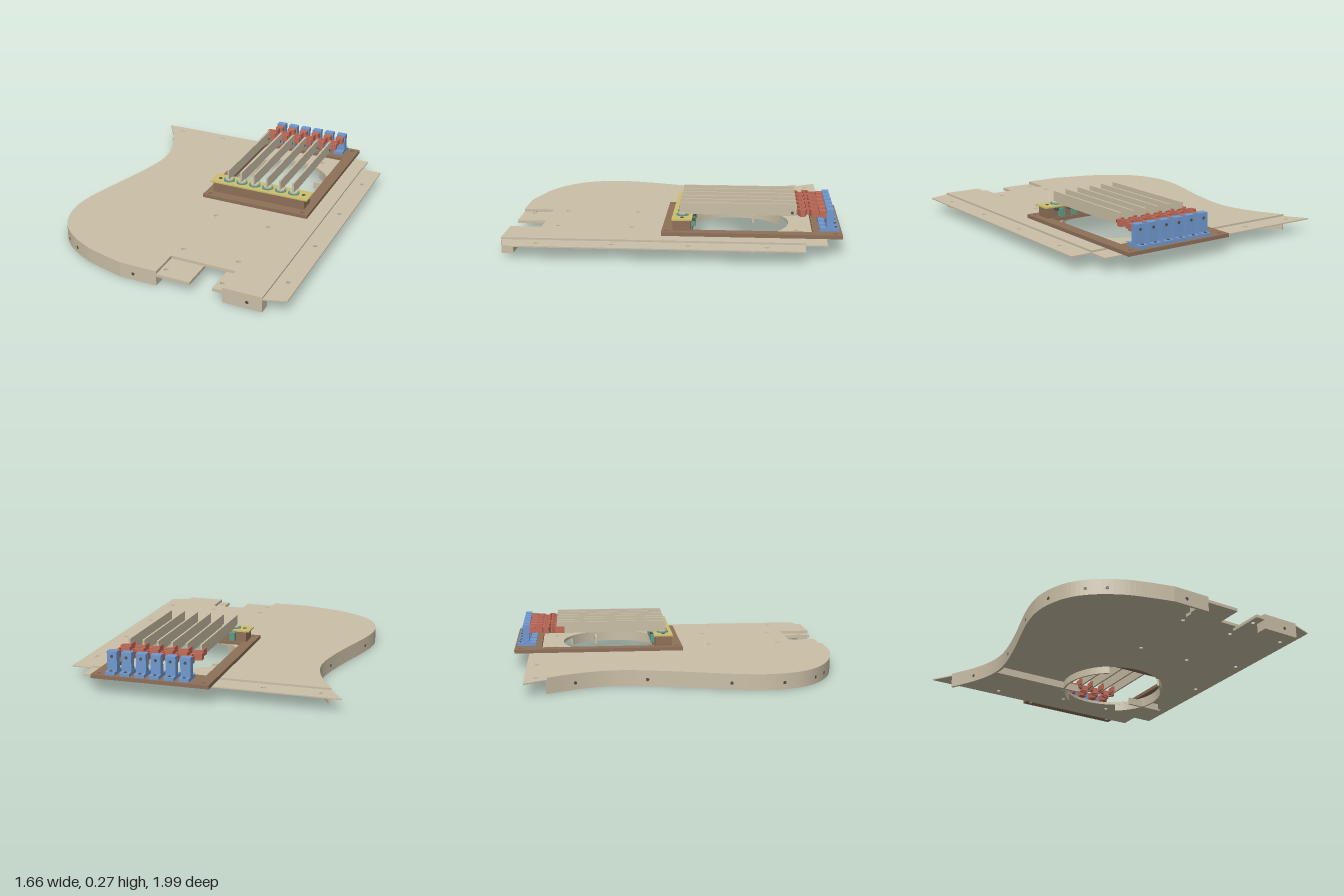
import * as THREE from 'three';

const mat = (name, color, side = THREE.FrontSide) => {
  const m = new THREE.MeshStandardMaterial({ color, side });
  m.name = name;
  return m;
};
const V = (x, z) => new THREE.Vector2(x, -z);

export function createModel() {
  const model = new THREE.Group();
  model.name = 'instrumentBody';
  const cream = mat('creamWood', 0xcabfa6);
  const brown = mat('brownWood', 0x8d7058);
  const yellow = mat('yellowPlate', 0xcbbf70);
  const teal = mat('tealRing', 0x5f9c86);
  const red = mat('redFlexure', 0xc06a58);
  const blue = mat('blueBracket', 0x7099d0);
  const dark = mat('darkHole', 0x57524a);

  const add = (name, geo, material, parent = model) => {
    const m = new THREE.Mesh(geo, material);
    m.name = name;
    parent.add(m);
    return m;
  };
  // box given by its minimum and maximum on each axis
  const box = (name, material, x0, x1, y0, y1, z0, z1, parent) => {
    const g = new THREE.BoxGeometry(x1 - x0, y1 - y0, z1 - z0);
    g.translate((x0 + x1) / 2, (y0 + y1) / 2, (z0 + z1) / 2);
    return add(name, g, material, parent);
  };
  // plan outline (x, z) with round holes [x, z, r], raised from y0 to y1
  const slab = (name, material, pts, y0, y1, holes = [], cut = null) => {
    const s = new THREE.Shape(pts);
    for (const [x, z, r] of holes) {
      const h = new THREE.Path();
      h.absarc(x, -z, r, 0, Math.PI * 2, true);
      s.holes.push(h);
    }
    if (cut) s.holes.push(new THREE.Path(cut));
    const g = new THREE.ExtrudeGeometry(s, { depth: y1 - y0, bevelEnabled: false, curveSegments: 24 });
    g.rotateX(-Math.PI / 2).translate(0, y0, 0);
    return add(name, g, material);
  };
  const rect = (x0, x1, z0, z1) => [V(x0, z1), V(x1, z1), V(x1, z0), V(x0, z0)];

  // waisted side curve, running from back to front
  const side = new THREE.SplineCurve([
    [-0.83, -0.91], [-0.745, -0.78], [-0.66, -0.62], [-0.613, -0.48], [-0.6, -0.35], [-0.62, -0.2],
    [-0.668, 0], [-0.72, 0.18], [-0.76, 0.34], [-0.775, 0.48], [-0.755, 0.61], [-0.7, 0.73],
    [-0.6, 0.83], [-0.46, 0.91], [-0.32, 0.955], [-0.18, 0.99],
  ].map(([x, z]) => V(x, z))).getPoints(75);
  const bodySide = side.filter((p) => -p.y >= -0.781);
  const backSide = side.filter((p) => -p.y <= -0.779);

  // soundboard with sound hole and front notch
  const R = 0.013;
  const hx = 0.255, hz = -0.37, hr = 0.325;
  slab('soundboard', cream, [
    ...bodySide, V(0.05, 0.99), V(0.05, 0.8), V(0.46, 0.8), V(0.46, 0.99), V(0.7, 0.99), V(0.7, -0.78),
  ], 0.077, 0.095, [
    [hx, hz, hr], [0.08, -0.74, R], [0.43, -0.74, R],
    [0.08, 0.25, R], [0.43, 0.25, R], [0.08, 0.7, R], [0.43, 0.7, R],
  ]);
  // thin flanges along the back and the straight side
  slab('backFlange', cream, [...backSide, V(0.7, -0.78), V(0.7, -0.91)], 0.077, 0.084,
    [[-0.7, -0.845, R], [-0.37, -0.845, R]]);
  slab('sideFlange', cream, [V(0.7, 0.99), V(0.83, 0.95), V(0.83, -0.78), V(0.7, -0.78)], 0.077, 0.084,
    [-0.56, -0.11, 0.33, 0.77].map((z) => [0.765, z, R]));
  // ledges inside the front notch
  slab('notchLedge', cream, rect(0.05, 0.26, 0.77, 0.99), 0.058, 0.0765, [[0.08, 0.92, R]]);
  slab('notchLedge', cream, rect(0.4, 0.46, 0.77, 0.99), 0.058, 0.0765, [[0.43, 0.92, R]]);

  // curved rim wall, thickened inward
  const inner = bodySide.map((p, i) => {
    const a = bodySide[Math.max(i - 1, 0)], b = bodySide[Math.min(i + 1, bodySide.length - 1)];
    const t = b.clone().sub(a).normalize();
    return new THREE.Vector2(p.x - t.y * 0.015, p.y + t.x * 0.015);
  });
  slab('rimWall', cream, [...bodySide, ...inner.reverse()], 0, 0.077);
  box('frontWall', cream, -0.185, 0, 0, 0.077, 0.975, 0.99);
  box('frontBlock', cream, -0.03, 0.05, 0, 0.077, 0.92, 0.99);
  box('frontBlock', cream, 0.46, 0.7, 0, 0.077, 0.92, 0.99);

  // screw holes in the rim
  const hole = (x, z, dx, dz, len) => {
    const g = new THREE.CylinderGeometry(0.01, 0.01, len, 16).rotateX(Math.PI / 2);
    const m = add('rimHole', g, dark);
    m.position.set(x, 0.04, z);
    m.rotation.y = Math.atan2(dx, dz);
  };
  for (const z of [-0.65, -0.2, 0.27, 0.57, 0.785, 0.86]) {
    const i = bodySide.findIndex((p) => -p.y >= z);
    const p = bodySide[i], t = bodySide[i + 1].clone().sub(bodySide[i - 1]).normalize();
    hole(p.x - t.y * 0.0075, -p.y - t.x * 0.0075, -t.y, -t.x, 0.018);
  }
  hole(-0.1, 0.9825, 0, 1, 0.018);
  hole(0.61, 0.955, 0, 1, 0.073);

  // curved ribs and straight braces beside the sound hole
  for (const mid of [0, Math.PI]) {
    const s = new THREE.Shape();
    s.absarc(hx, -hz, hr + 0.012, mid - 0.96, mid + 0.96, false);
    s.absarc(hx, -hz, hr, mid + 0.96, mid - 0.96, true);
    slab('soundHoleRib', cream, s.getPoints(24), 0.03, 0.077);
  }
  box('brace', cream, -0.6, 0.05, 0.03, 0.077, -0.487, -0.473);
  box('brace', cream, 0.46, 0.7, 0.03, 0.077, -0.487, -0.473);

  // brown frame
  slab('frame', brown, rect(-0.1, 0.61, -1, 0.06), 0.096, 0.118,
    [[-0.06, -0.96, R], [0.57, -0.96, R], [-0.06, 0.03, R], [0.57, 0.03, R]],
    rect(-0.03, 0.54, -0.83, -0.12));
  // bridge with its top plate
  box('bridge', brown, -0.055, 0.565, 0.118, 0.182, -0.112, -0.005);
  box('bridgePlate', yellow, -0.075, 0.585, 0.182, 0.191, -0.12, 0);
  for (const x of [-0.03, 0.54]) {
    const screw = add('plateScrew', new THREE.CylinderGeometry(0.011, 0.011, 0.004, 16), dark);
    screw.position.set(x, 0.1915, -0.06);
  }

  // six identical tines, each with its seat, flexure and bracket
  for (let i = 0; i < 6; i++) {
    const unit = new THREE.Group();
    unit.name = 'tineUnit';
    unit.position.x = 0.032 + i * 0.0887;
    model.add(unit);

    const ring = add('seatRing', new THREE.CylinderGeometry(0.036, 0.036, 0.008, 28), teal, unit);
    ring.position.set(0, 0.194, -0.06);
    const seat = add('seat', new THREE.CylinderGeometry(0.026, 0.026, 0.014, 24), cream, unit);
    seat.position.set(0, 0.198, -0.06);
    box('pickup', teal, -0.018, 0.018, 0.125, 0.175, -0.135, -0.112, unit);
    box('pickupTab', dark, 0.026, 0.046, 0.165, 0.181, -0.135, -0.112, unit);

    box('tine', cream, -0.006, 0.006, 0.197, 0.268, -0.735, -0.04, unit);
    const pin = add('tinePin', new THREE.CylinderGeometry(0.009, 0.009, 0.014, 16).rotateZ(Math.PI / 2), dark, unit);
    pin.position.set(0, 0.215, -0.71);

    // folded flexure strip
    const path = [[0.02, -0.87], [0.02, -0.825], [-0.028, -0.815], [-0.028, -0.79], [0.03, -0.78],
      [0.03, -0.76], [-0.012, -0.745], [-0.012, -0.69]];
    for (let k = 0; k + 1 < path.length; k++) {
      const [x0, z0] = path[k], [x1, z1] = path[k + 1];
      const g = new THREE.BoxGeometry(0.011, 0.04, Math.hypot(x1 - x0, z1 - z0) + 0.009);
      const m = add('flexure', g, red, unit);
      m.position.set((x0 + x1) / 2, 0.22, (z0 + z1) / 2);
      m.rotation.y = Math.atan2(x1 - x0, z1 - z0);
    }
    box('flexureBlock', red, -0.005, 0.045, 0.2, 0.24, -0.91, -0.868, unit);

    // upright bracket
    box('bracketBase', blue, -0.01, 0.05, 0.118, 0.138, -0.985, -0.87, unit);
    box('bracketUpright', blue, -0.01, 0.05, 0.138, 0.25, -0.95, -0.908, unit);
    const bolt = add('bracketBolt', new THREE.CylinderGeometry(0.01, 0.01, 0.004, 16), dark, unit);
    bolt.position.set(0.02, 0.139, -0.968);
    const rear = add('bracketHole', new THREE.CylinderGeometry(0.009, 0.009, 0.004, 16).rotateX(Math.PI / 2), dark, unit);
    rear.position.set(0.02, 0.22, -0.95);
  }
  return model;
}
